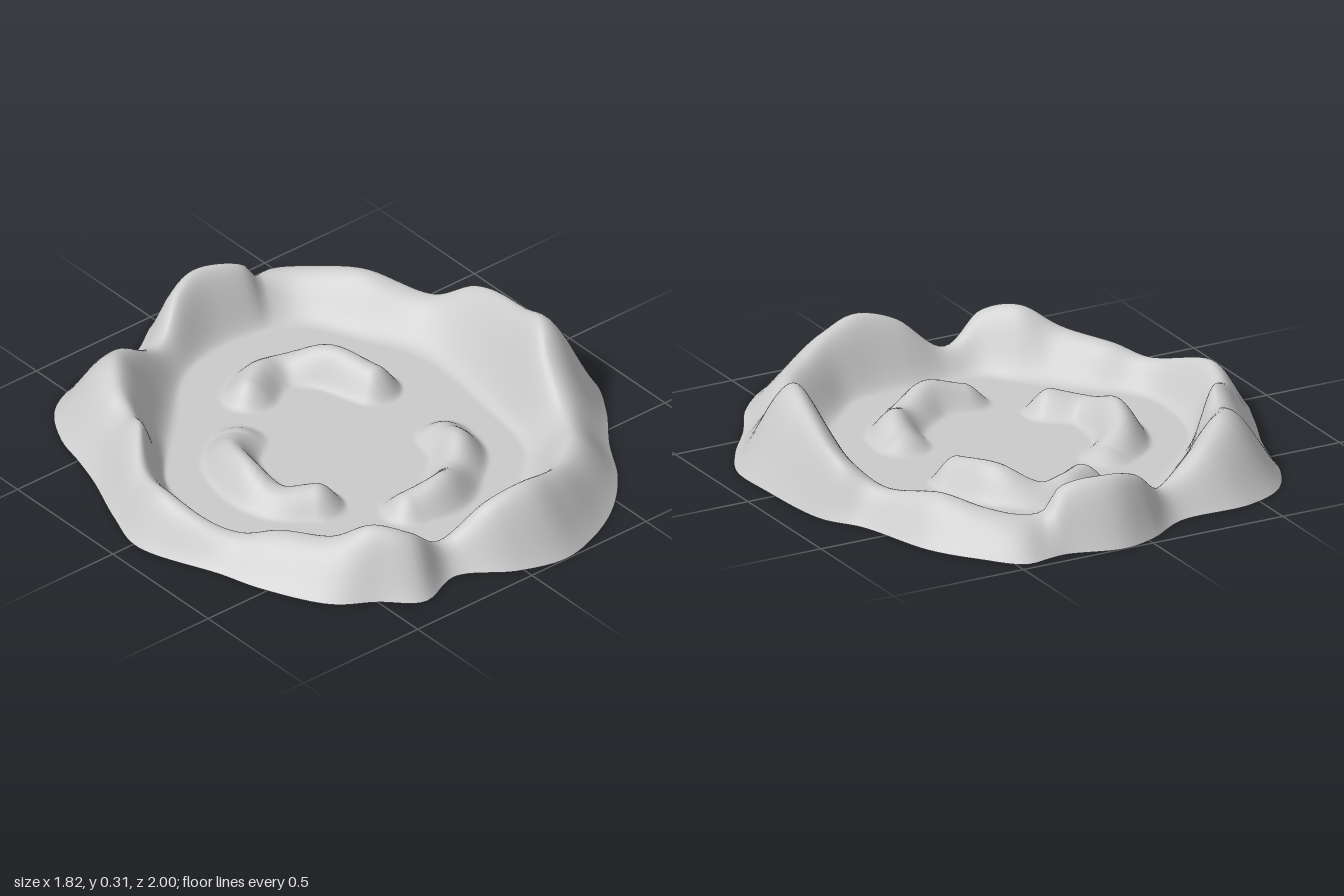
import * as THREE from 'three';

const SEGMENTS = 240;
const FLOOR_RINGS = 60;
const RIM_RINGS = 32;

// Outer foot of the rim: [x, z, crest height, crest place from basin (0) to foot (1)]
const RIM = [
  [0.11, -1.0, 0.22, 0.55], [0.3, -0.95, 0.19, 0.5], [0.37, -0.955, 0.115, 0.5], [0.47, -0.965, 0.11, 0.5],
  [0.58, -0.85, 0.125, 0.55], [0.69, -0.69, 0.15, 0.57], [0.78, -0.4, 0.12, 0.68], [0.865, -0.26, 0.19, 0.72],
  [0.9, 0.06, 0.265, 0.57], [0.9, 0.25, 0.305, 0.51], [0.82, 0.41, 0.22, 0.45], [0.7, 0.57, 0.13, 0.5],
  [0.595, 0.74, 0.145, 0.52], [0.45, 0.88, 0.155, 0.48], [0.29, 0.965, 0.2, 0.48], [0.145, 0.998, 0.23, 0.5],
  [-0.02, 0.95, 0.195, 0.5], [-0.2, 0.84, 0.08, 0.5], [-0.38, 0.89, 0.18, 0.53], [-0.5, 0.79, 0.21, 0.55],
  [-0.63, 0.7, 0.15, 0.5], [-0.75, 0.48, 0.13, 0.45], [-0.8, 0.325, 0.1, 0.5], [-0.91, 0.02, 0.165, 0.53],
  [-0.86, -0.16, 0.15, 0.53], [-0.775, -0.37, 0.21, 0.36], [-0.735, -0.5, 0.18, 0.42], [-0.7, -0.63, 0.21, 0.48],
  [-0.605, -0.78, 0.235, 0.5], [-0.45, -0.855, 0.19, 0.53], [-0.19, -0.865, 0.085, 0.5], [-0.02, -0.965, 0.19, 0.55],
];

// Edge of the flat basin
const BASIN = [
  [0.1, -0.705], [0.33, -0.64], [0.46, -0.42], [0.54, -0.225], [0.525, 0.08], [0.46, 0.4],
  [0.35, 0.52], [0.24, 0.62], [0.15, 0.635], [0, 0.635], [-0.21, 0.63], [-0.33, 0.51], [-0.45, 0.37],
  [-0.63, 0.18], [-0.64, 0], [-0.58, -0.22], [-0.46, -0.35], [-0.34, -0.46], [-0.12, -0.66],
];

// Crest lines of the three curved hills in the basin: [x, z, height]
const HILLS = [
  [[-0.25, -0.24, 0.04], [-0.35, -0.16, 0.09], [-0.4, -0.02, 0.115], [-0.385, 0.13, 0.07], [-0.29, 0.22, 0.085]],
  [[-0.05, -0.42, 0.075], [0.04, -0.47, 0.075], [0.13, -0.465, 0.06], [0.24, -0.36, 0.115], [0.3, -0.19, 0.095]],
  [[-0.07, 0.44, 0.07], [0.06, 0.455, 0.1], [0.18, 0.38, 0.06], [0.27, 0.29, 0.09], [0.3, 0.18, 0.05]],
];
const HILL_WIDTH = 0.1;

const toCurve = (points, closed) => new THREE.CatmullRomCurve3(
  points.map(([x, z, value = 0]) => new THREE.Vector3(x, value, z)), closed, 'centripetal');

// Turns a closed outline into a lookup: angle -> radius and the value carried along
function polarOutline(points) {
  const samples = toCurve(points, true).getPoints(900).slice(0, -1)
    .map((p) => ({ a: Math.atan2(p.z, p.x), r: Math.hypot(p.x, p.z), value: p.y }))
    .sort((p, q) => p.a - q.a);
  const first = samples[0], last = samples[samples.length - 1];
  samples.unshift({ ...last, a: last.a - 2 * Math.PI });
  samples.push({ ...first, a: first.a + 2 * Math.PI });
  return (angle) => {
    const i = Math.max(1, samples.findIndex((s) => s.a >= angle));
    const p = samples[i - 1], q = samples[i];
    const t = (angle - p.a) / (q.a - p.a || 1);
    return { r: p.r + (q.r - p.r) * t, value: p.value + (q.value - p.value) * t };
  };
}

// Rounded mound around the nearest point of each crest line
function hillHeight(x, z, crests) {
  let height = 0;
  for (const crest of crests) {
    let best = Infinity, top = 0;
    for (const p of crest) {
      const d = Math.hypot(p.x - x, p.z - z);
      if (d < best) { best = d; top = p.y; }
    }
    const u = Math.min(1, best / HILL_WIDTH);
    height = Math.max(height, top * (1 - u * u) ** 1.6);
  }
  return height;
}

// Rim section: t = 0 at the basin, 1 at the outer foot
function rimProfile(t, crest) {
  if (t < crest) return THREE.MathUtils.smoothstep(t / crest, 0, 1);
  const u = (t - crest) / (1 - crest);
  return 0.5 * (1 - u * u) + 0.5 * (0.5 + 0.5 * Math.cos(Math.PI * u));
}

export function createModel() {
  const heightAt = polarOutline(RIM);
  const crestAt = polarOutline(RIM.map(([x, z, , crest]) => [x, z, crest]));
  const basinAt = polarOutline(BASIN);
  const spokes = Array.from({ length: SEGMENTS }, (_, i) => {
    const a = -Math.PI + (i / SEGMENTS) * 2 * Math.PI;
    const outer = heightAt(a);
    return {
      cos: Math.cos(a), sin: Math.sin(a), inner: basinAt(a).r,
      outer: outer.r, height: outer.value, crest: crestAt(a).value,
    };
  });
  const hillCrests = HILLS.map((hill) => toCurve(hill, false).getPoints(160));

  // Rings from the centre out: the floor with its hills, then the mountain rim
  const positions = [], index = [];
  const rings = FLOOR_RINGS + RIM_RINGS;
  for (let j = 0; j <= rings; j++) {
    for (const s of spokes) {
      const t = (j - FLOOR_RINGS) / RIM_RINGS;
      const onFloor = j <= FLOOR_RINGS;
      const r = onFloor ? s.inner * j / FLOOR_RINGS : s.inner + (s.outer - s.inner) * t;
      const x = r * s.cos, z = r * s.sin;
      const y = onFloor ? hillHeight(x, z, hillCrests) : s.height * rimProfile(t, s.crest);
      positions.push(x, y, z);
    }
  }
  for (let j = 0; j < rings; j++) {
    for (let i = 0; i < SEGMENTS; i++) {
      const a = j * SEGMENTS + i, b = j * SEGMENTS + (i + 1) % SEGMENTS;
      const c = a + SEGMENTS, d = b + SEGMENTS;
      if (j > 0) index.push(a, b, c);
      index.push(b, d, c);
    }
  }
  const geometry = new THREE.BufferGeometry();
  geometry.setAttribute('position', new THREE.Float32BufferAttribute(positions, 3));
  geometry.setIndex(index);
  geometry.computeVertexNormals();

  const terrain = new THREE.Mesh(geometry,
    new THREE.MeshStandardMaterial({ color: 0xcccccc, side: THREE.DoubleSide }));
  terrain.name = 'craterTerrain';
  const group = new THREE.Group();
  group.name = 'crater';
  group.add(terrain);
  return group;
}
